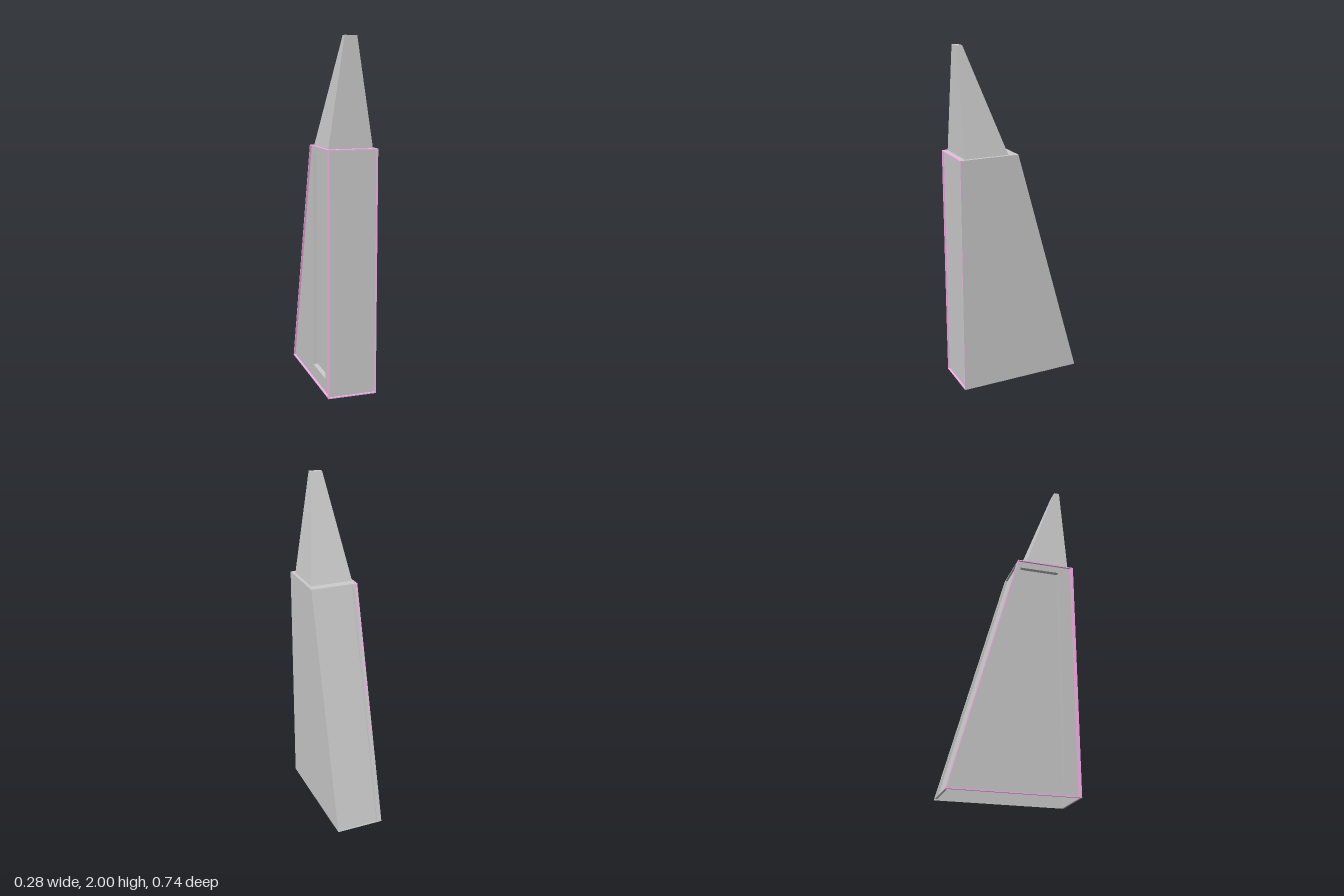
import * as THREE from 'three';

const H = 1.4, W = 0.142, BACK = -0.372, RUN = 0.397;   // body height, half width, rear edge and its slope
const FRONT = 0.362, SKIN = -0.131;                     // grey front and slotted side, behind the trim
const backZ = (y) => BACK + (RUN * y) / H;
const grey = new THREE.MeshStandardMaterial({ color: 0xcccccc, flatShading: true, side: THREE.DoubleSide });
const pink = new THREE.MeshStandardMaterial({ color: 0xffb3f0, flatShading: true });

const poly = (C, pts) => new C(pts.map(([a, b]) => new THREE.Vector2(a, b)));
const rect = (a0, a1, b0, b1) => [[a0, b0], [a1, b0], [a1, b1], [a0, b1]];

// Side profile in (z, y): sloping at the rear, upright at the front
const profile = (t, front) => [
  [backZ(t) + t, t], [front - t, t], [front - t, H - t], [backZ(H - t) + t, H - t],
];

function shapeWithHole(points, hole) {
  const shape = poly(THREE.Shape, points);
  shape.holes.push(poly(THREE.Path, hole));
  return shape;
}

function mesh(name, geometry, material = grey) {
  const m = new THREE.Mesh(geometry, material);
  m.name = name;
  return m;
}

// Thin wall facing local +z with a rectangular pocket sunk into it
function pocketWall(name, points, [a0, a1, b0, b1], depth) {
  const group = new THREE.Group();
  group.name = name;
  const pocket = new THREE.BoxGeometry(a1 - a0, b1 - b0, depth);
  const index = Array.from(pocket.index.array);
  index.splice(24, 6);                                  // leave the outer side open
  pocket.setIndex(index);
  pocket.translate((a0 + a1) / 2, (b0 + b1) / 2, -depth / 2);
  group.add(
    mesh(name + 'Sheet', new THREE.ShapeGeometry(shapeWithHole(points, rect(a0, a1, b0, b1)))),
    mesh(name + 'Pocket', pocket),
  );
  return group;
}

// Narrow frame extruded towards local +z
const frame = (outer, inner, depth) =>
  new THREE.ExtrudeGeometry(shapeWithHole(outer, inner), { depth, bevelEnabled: false });

export function createModel() {
  const model = new THREE.Group();

  // Body of thin walls, open underneath
  model.add(mesh('plainSideWall', new THREE.ShapeGeometry(poly(THREE.Shape, profile(0, 0.372)))
    .rotateY(-Math.PI / 2).translate(W, 0, 0)));
  model.add(mesh('frontWall', new THREE.PlaneGeometry(W - SKIN, H)
    .translate((W + SKIN) / 2, H / 2, FRONT)));
  model.add(mesh('topPlate', new THREE.PlaneGeometry(W - SKIN, FRONT - backZ(H))
    .rotateX(-Math.PI / 2).translate((W + SKIN) / 2, H, (FRONT + backZ(H)) / 2)));

  // Side wall with a tall blind slot
  const slotted = pocketWall('slottedSideWall', profile(0, FRONT), [0.04, 0.28, 0.085, 1.355], 0.027);
  slotted.rotation.y = -Math.PI / 2;
  slotted.position.x = SKIN;
  model.add(slotted);

  // Leaning rear wall with a shallow recessed panel
  const slant = Math.hypot(H, RUN);
  const rear = pocketWall('rearWall', rect(-W, W, 0, slant), [-0.116, 0.114, 0.004, slant - 0.01], 0.012);
  rear.rotation.set(Math.atan2(RUN, H), Math.PI, 0, 'XYZ');
  rear.position.z = BACK;
  model.add(rear);

  // Thin coloured trim around the front and the slotted side
  const t = 0.006;
  model.add(mesh('frontTrim', frame(rect(-W, W - 0.001, 0, H), rect(t - W, W - t, t, H - t), 0.01)
    .translate(0, 0, FRONT), pink));
  model.add(mesh('sideTrim', frame(profile(0, FRONT), profile(t, FRONT), W + SKIN)
    .rotateY(-Math.PI / 2).translate(SKIN, 0, 0), pink));

  // Tapering spire
  const spire = new THREE.BoxGeometry(1, 1, 1).toNonIndexed();
  const p = spire.attributes.position;
  for (let i = 0; i < p.count; i++) {
    const top = p.getY(i) > 0;
    const [x0, x1, z0, z1] = top ? [-0.04, 0.03, 0.304, 0.337] : [-0.132, 0.123, 0.078, 0.34];
    p.setXYZ(i, p.getX(i) > 0 ? x1 : x0, top ? 2 : H, p.getZ(i) > 0 ? z1 : z0);
  }
  spire.computeVertexNormals();
  model.add(mesh('spire', spire));

  return model;
}
